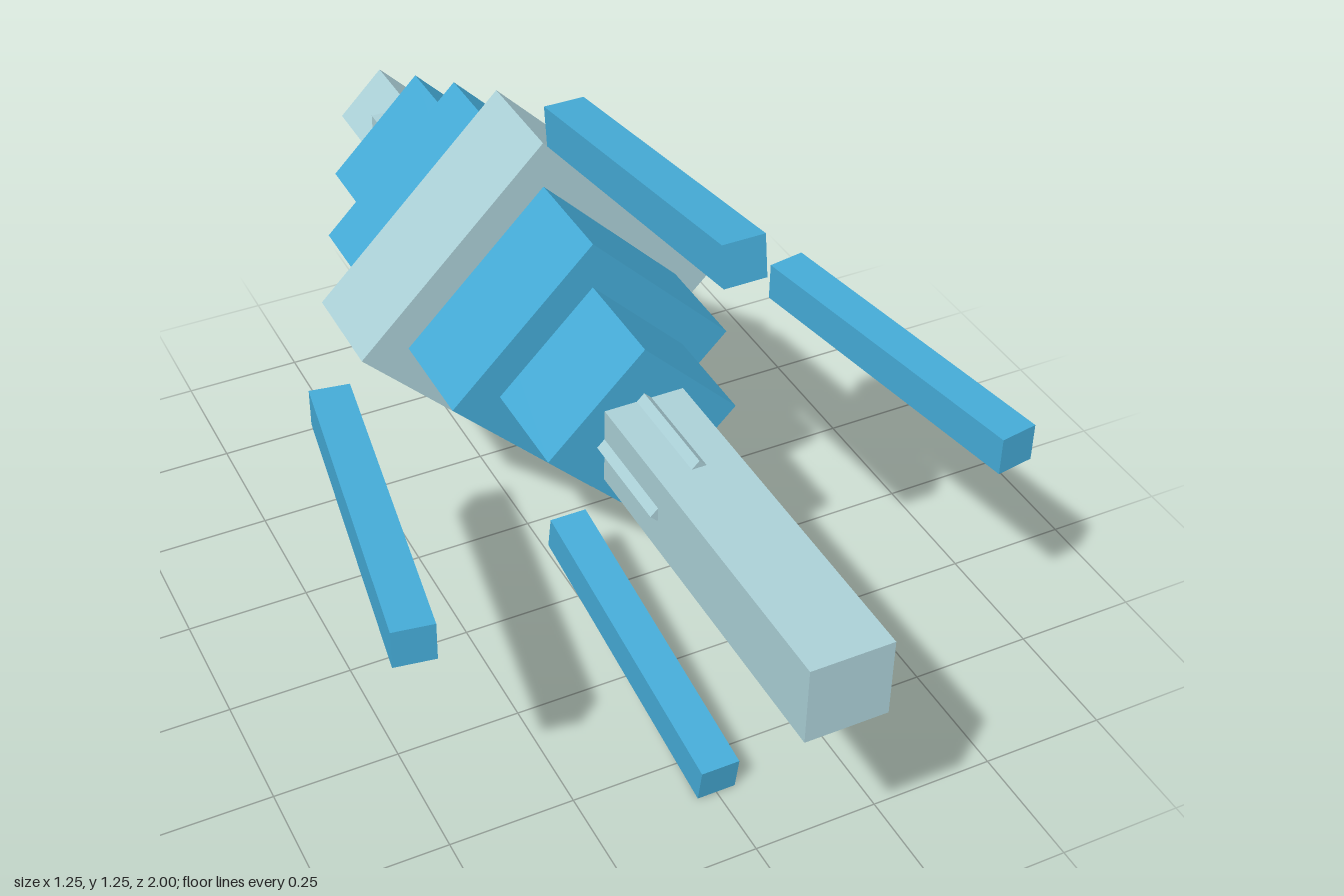
import * as THREE from 'three';

export function createModel() {
  const model = new THREE.Group();
  const blue = new THREE.MeshStandardMaterial({ color: 0x45abd7 });
  blue.name = 'sky blue';
  const grey = new THREE.MeshStandardMaterial({ color: 0xabd0d7 });
  grey.name = 'pale grey';

  // Everything is arranged around one lengthwise axis
  const body = new THREE.Group();
  body.name = 'body';
  body.position.y = 0.622;
  model.add(body);

  // Square bar along z, from z0 to z1
  function bar(name, side, z0, z1, material, turn = 0) {
    const mesh = new THREE.Mesh(new THREE.BoxGeometry(side, side, z1 - z0), material);
    mesh.name = name;
    mesh.position.z = (z0 + z1) / 2;
    mesh.rotation.z = turn;
    body.add(mesh);
  }

  // Central beam and the diamond spine crossing it
  bar('beam', 0.157, -0.85, 1, grey);
  bar('spine', 0.093 * Math.SQRT2, -1, 0.483, grey, Math.PI / 4);

  // Stepped diamond hull: half diagonal, back, front
  [
    ['outerHull', 0.19, -0.787, 0.272, blue],
    ['middleHull', 0.285, -0.576, 0.061, blue],
    ['hullRing', 0.38, -0.363, -0.151, grey],
  ].forEach(([name, r, z0, z1, material]) =>
    bar(name, r * Math.SQRT2, z0, z1, material, Math.PI / 4));

  // Four detached struts splaying outward toward the front
  const strutGeometry = new THREE.BoxGeometry(0.078, 0.077, 0.665);
  for (let i = 0; i < 4; i++) {
    const arm = new THREE.Group();
    arm.name = 'strutMount';
    arm.rotation.z = (i * Math.PI) / 2;
    const strut = new THREE.Mesh(strutGeometry, blue);
    strut.name = 'strut';
    strut.position.set(0, 0.532, 0.274);
    strut.rotation.x = -0.159;
    arm.add(strut);
    body.add(arm);
  }
  return model;
}
